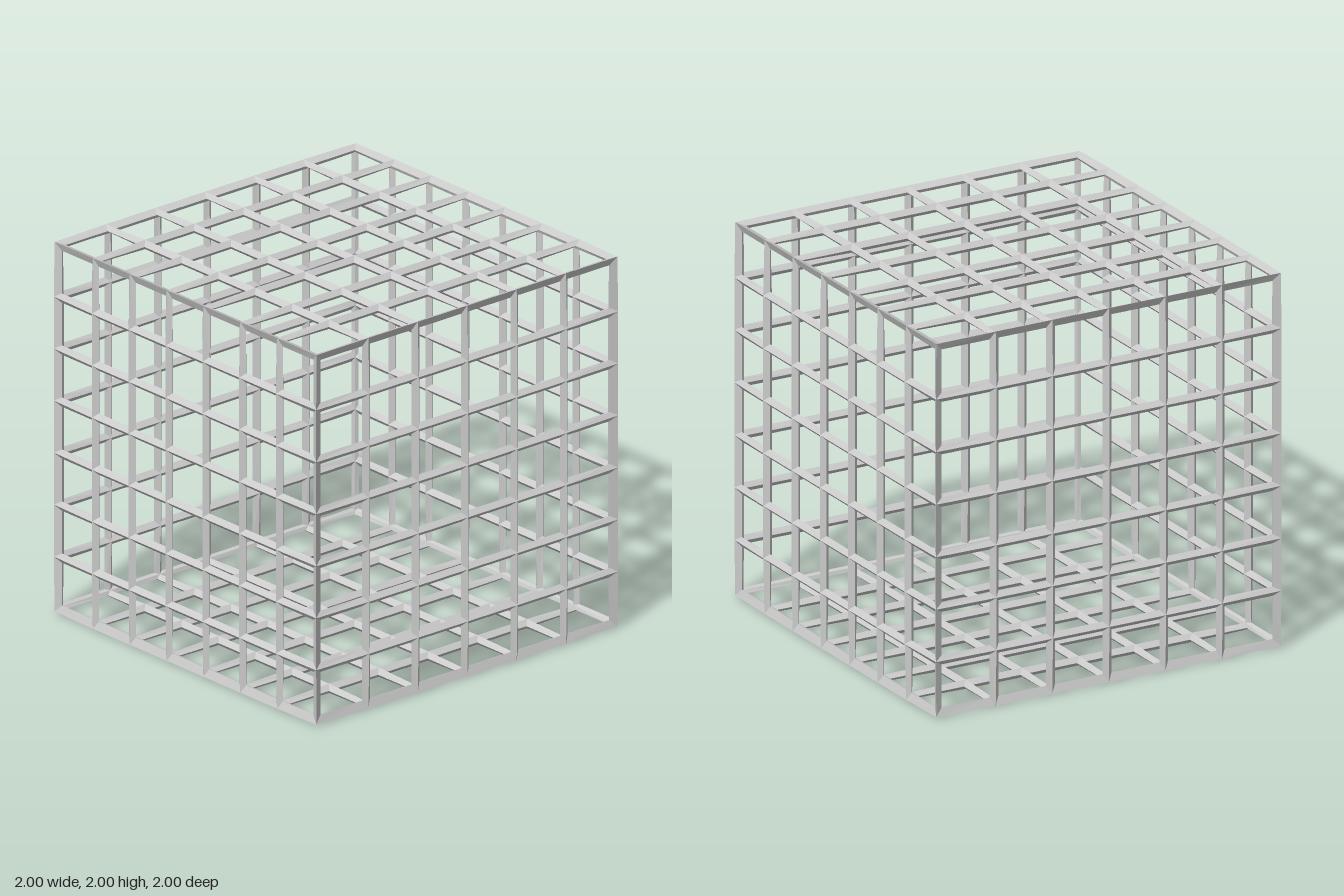
import * as THREE from 'three';

const COUNTS = [6, 7, 7];  // cells along x, y, z
const HALF = 0.975;        // half size of the cage at the bar centre lines
const T = 0.025;           // half thickness of a bar
const NAMES = [['rightGrid', 'leftGrid'], ['bottomGrid', 'topGrid'], ['backGrid', 'frontGrid']];

// Grid node to position, and its outward direction (blended at edges and corners)
const nodePoint = (n) => new THREE.Vector3(...n.map((k, i) => -HALF + (2 * HALF * k) / COUNTS[i]));
const nodeNormal = (n) =>
  new THREE.Vector3(...n.map((k, i) => (k === 0 ? -1 : k === COUNTS[i] ? 1 : 0))).normalize();

// One side of the cage: every cell is a window framed by bevelled half bars
function sideGrid(axis, end) {
  const b = (axis + 1) % 3, c = (axis + 2) % 3;
  const positions = [];
  const quad = (p, q, r, s) => [p, q, r, p, r, s].forEach((v) => positions.push(v.x, v.y, v.z));

  for (let i = 0; i < COUNTS[b]; i++) {
    for (let j = 0; j < COUNTS[c]; j++) {
      let loop = [[0, 0], [1, 0], [1, 1], [0, 1]];
      if (!end) loop.reverse();
      const corners = loop.map(([di, dj]) => {
        const node = [0, 0, 0];
        node[axis] = end * COUNTS[axis];
        node[b] = i + di;
        node[c] = j + dj;
        const point = nodePoint(node), normal = nodeNormal(node);
        const rim = point.clone(); // window corner, set in from the node
        rim.setComponent(b, rim.getComponent(b) + (di ? -T : T));
        rim.setComponent(c, rim.getComponent(c) + (dj ? -T : T));
        return {
          outer: point.clone().addScaledVector(normal, T),
          inner: point.clone().addScaledVector(normal, -T),
          rim,
        };
      });
      corners.forEach((p, k) => {
        const q = corners[(k + 1) % 4];
        quad(p.outer, q.outer, q.rim, p.rim);
        quad(p.inner, p.rim, q.rim, q.inner);
      });
    }
  }
  const geometry = new THREE.BufferGeometry();
  geometry.setAttribute('position', new THREE.Float32BufferAttribute(positions, 3));
  geometry.computeVertexNormals();
  return geometry;
}

export function createModel() {
  const group = new THREE.Group();
  group.name = 'latticeCube';
  const material = new THREE.MeshStandardMaterial({ color: 0xcccccc, flatShading: true });
  for (let axis = 0; axis < 3; axis++) {
    for (let end = 0; end < 2; end++) {
      const mesh = new THREE.Mesh(sideGrid(axis, end), material);
      mesh.name = NAMES[axis][end];
      mesh.position.y = 1;
      group.add(mesh);
    }
  }
  return group;
}
